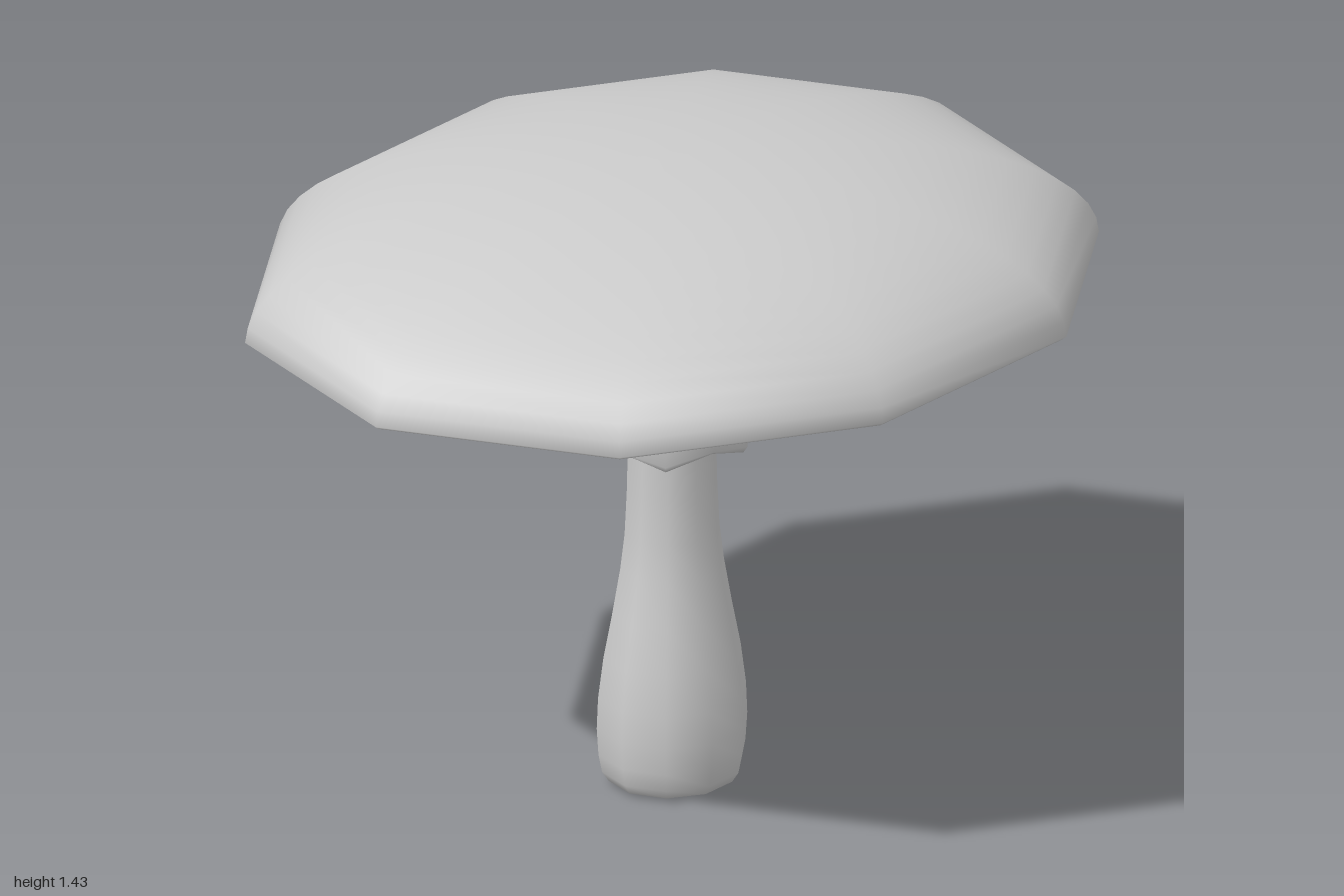
import * as THREE from 'three';

const SIDES = 10;

// Smooth ten-sided lathe with a corner on +x, slightly flattened in z
function turned(name, profile, depth, rule) {
  const points = profile.map(([r, y]) => new THREE.Vector2(r, y));
  const geometry = new THREE.LatheGeometry(points, SIDES, Math.PI / 2);
  if (rule) {
    const pos = geometry.attributes.position;
    for (let i = 0; i < pos.count; i++) {
      const side = Math.floor(i / points.length);
      pos.setY(i, pos.getY(i) + rule(side, i % points.length));
    }
  }
  geometry.scale(1, 1, depth);
  const material = new THREE.MeshStandardMaterial({ color: 0xcccccc, side: THREE.DoubleSide });
  const mesh = new THREE.Mesh(geometry, material);
  mesh.name = name;
  return mesh;
}

export function createModel() {
  const model = new THREE.Group();
  model.name = 'mushroom';

  // Cap: hollowed underside flaring out of the neck, soft rim, elliptical dome
  const cap = [
    [0.1, 1.09], [0.115, 1.104], [0.14, 1.113], [0.18, 1.122], [0.25, 1.138],
    [0.35, 1.155], [0.48, 1.166], [0.62, 1.163], [0.77, 1.15], [0.9, 1.13],
    [0.965, 1.116], [0.988, 1.114], [1, 1.122],
  ];
  const steps = 14;
  for (let i = 1; i <= steps; i++) {
    const a = (i / steps) * Math.PI / 2;
    cap.push([Math.max(0, Math.cos(a)), 1.12 + 0.312 * Math.sin(a)]);
  }
  model.add(turned('cap', cap, 0.866));

  // Stem: bulbous foot narrowing upwards
  model.add(turned('stem', [
    [0, 0], [0.12, 0], [0.143, 0.008], [0.158, 0.03], [0.166, 0.07], [0.17, 0.13],
    [0.167, 0.2], [0.155, 0.29], [0.135, 0.39], [0.117, 0.49], [0.107, 0.57],
    [0.102, 0.67], [0.099, 0.8], [0.099, 1.11],
  ], 0.94));

  // Skirt: hangs from the neck, thick hem alternates low and high corners
  const skirt = [
    [0.09, 0.815], [0.13, 0.798], [0.158, 0.782], [0.17, 0.78], [0.179, 0.79],
    [0.182, 0.84], [0.177, 0.89], [0.164, 0.95], [0.142, 1.02], [0.12, 1.07],
    [0.108, 1.095], [0.112, 1.108], [0.13, 1.115],
  ];
  const hem = [0, 0.5, 1, 1, 0.8, 0.3];
  model.add(turned('skirt', skirt, 0.94,
    (side, row) => (side % 2 ? 0.016 : -0.014) * (hem[row] ?? 0)));

  return model;
}
